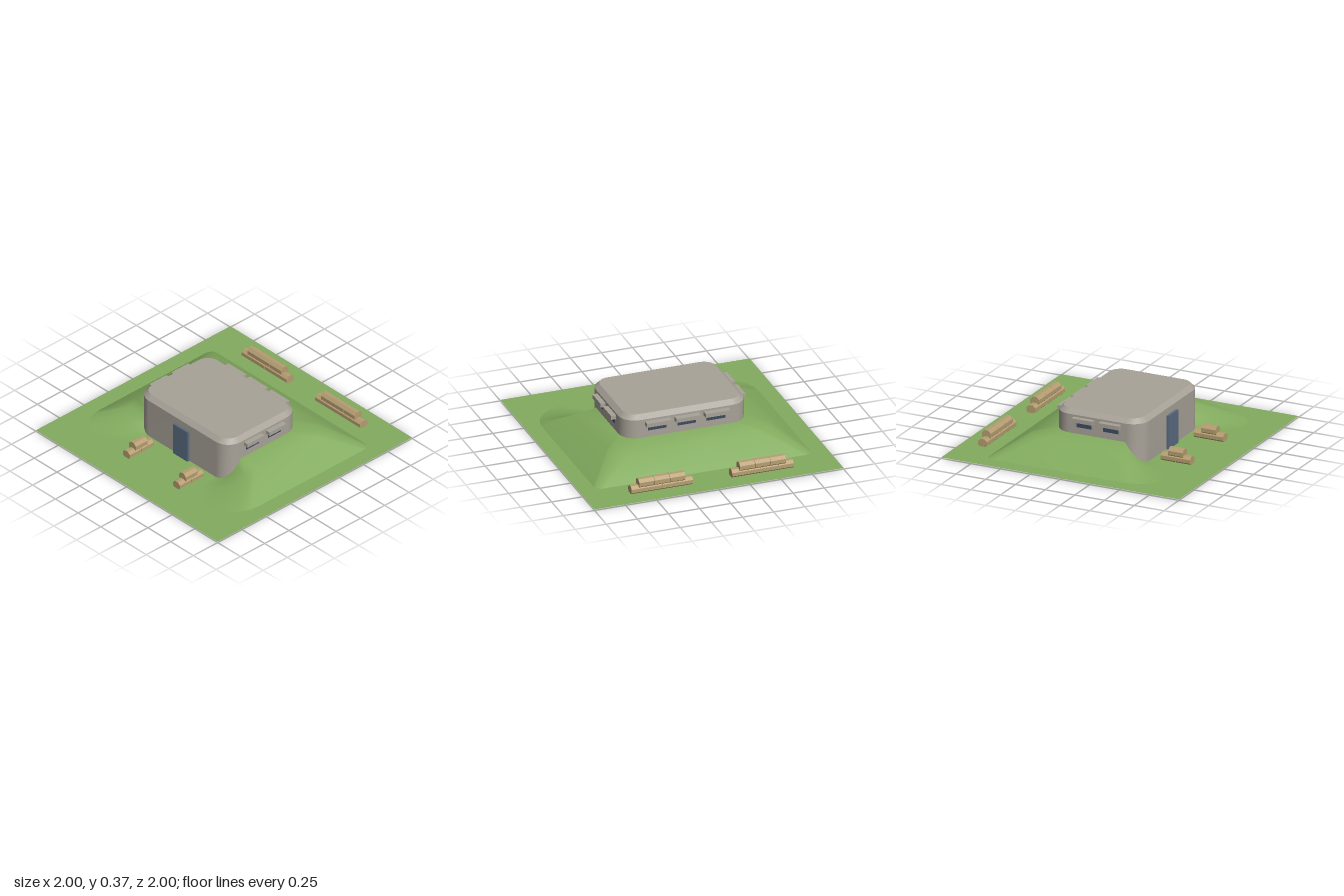
import * as THREE from 'three';

const mat = (color) => new THREE.MeshStandardMaterial({ color, side: THREE.DoubleSide });
const SEG = 6; // segments per rounded corner
const GROUND = 0.008;

// Rounded rectangle loop; height(f) gets 1 along the back and sides, falling to 0 at the front
function ring(halfX, zBack, zFront, rBack, rFront, height) {
  const pts = [];
  for (let c = 0; c < 4; c++) {
    const front = c < 2;
    const r = front ? rFront : rBack;
    const cx = (c === 0 || c === 3 ? 1 : -1) * (halfX - r);
    const cz = front ? zFront - r : zBack + r;
    for (let i = 0; i <= SEG; i++) {
      const t = i / SEG;
      const a = (c + t) * Math.PI / 2;
      const f = c === 0 ? (1 - t) ** 2 : c === 1 ? t ** 2 : 1;
      pts.push(new THREE.Vector3(cx + r * Math.cos(a), height(f), cz + r * Math.sin(a)));
    }
  }
  return pts;
}

// Skin between closed loops, listed from lowest/outermost to highest/innermost
function loft(rings) {
  const n = rings[0].length;
  const index = [];
  for (let k = 0; k < rings.length - 1; k++) {
    for (let i = 0; i < n; i++) {
      const a = k * n + i, b = k * n + (i + 1) % n;
      index.push(a, a + n, b, b, a + n, b + n);
    }
  }
  const geo = new THREE.BufferGeometry().setFromPoints(rings.flat());
  geo.setIndex(index);
  geo.computeVertexNormals();
  return geo;
}

export function createModel() {
  const model = new THREE.Group();
  model.name = 'bunker';
  const grass = mat(0x82ab5e);
  const concrete = mat(0xa8a298);
  const steel = mat(0x596b80);
  const dark = mat(0x3c4a60);
  const sack = mat(0xb59d70);

  const add = (name, geo, material, parent = model) => {
    const m = new THREE.Mesh(geo, material);
    m.name = name;
    parent.add(m);
    return m;
  };
  const box = (name, material, w, h, d, x, y, z) =>
    add(name, new THREE.BoxGeometry(w, h, d), material).position.set(x, y, z);

  // Terrain: flat field and an earth bank open towards the front
  const foot = ring(0.87, -0.69, 0.74, 0.06, 0.28, () => GROUND);
  const shoulder = ring(0.65, -0.465, 0.57, 0.13, 0.28, (f) => GROUND + 0.148 * f);
  const crest = ring(0.495, -0.305, 0.425, 0.13, 0.13, (f) => GROUND + 0.174 * f);
  add('field', loft([ring(1, -1, 1, 0, 0, () => GROUND), foot]), grass);
  add('earthBank', loft([foot, shoulder, crest]), grass);

  // Concrete shell, open underneath
  const shell = (y, inset = 0) =>
    ring(0.5 - inset, -0.31 + inset, 0.43 - inset, 0.13 - inset, 0.13 - inset, () => y);
  add('walls', loft([shell(0), shell(0.33)]), concrete);
  add('roofBevel', loft([shell(0.33), shell(0.365, 0.035)]), concrete);
  const outline = shell(0, 0.035).map((p) => new THREE.Vector2(p.x, -p.z)).reverse();
  const roof = new THREE.ShapeGeometry(new THREE.Shape(outline));
  roof.rotateX(-Math.PI / 2).translate(0, 0.365, 0);
  add('roof', roof, concrete);

  // Door
  box('door', steel, 0.16, 0.267, 0.04, 0, 0.1415, 0.43);

  // Firing slits with ledges, on both sides and the back
  for (const side of [1, -1]) {
    for (const z of [0.175, -0.05]) {
      box('sideLedge', concrete, 0.06, 0.032, 0.174, side * 0.511, 0.298, z);
      box('sideSlit', dark, 0.02, 0.042, 0.128, side * 0.493, 0.256, z);
    }
  }
  for (const x of [-0.236, 0, 0.236]) {
    box('backLedge', concrete, 0.197, 0.032, 0.06, x, 0.298, -0.329);
    box('backSlit', dark, 0.15, 0.042, 0.02, x, 0.256, -0.303);
  }

  // Sandbag walls: eight-sided bags lying along x, the upper row one bag shorter
  const bagLength = 0.124;
  const bag = new THREE.CylinderGeometry(0.0405, 0.0405, bagLength - 0.002, 8).toNonIndexed();
  bag.rotateY(Math.PI / 8).rotateZ(Math.PI / 2);
  bag.computeVertexNormals();
  function sandbagWall(name, count, x, z, turn) {
    const wall = new THREE.Group();
    wall.name = name;
    for (let row = 0; row < 2; row++) {
      const n = count - row;
      for (let i = 0; i < n; i++) {
        const m = add('sandbag', bag, sack, wall);
        m.position.set((i - (n - 1) / 2) * bagLength, row ? 0.079 : 0.034, 0);
        if (!row) m.scale.y = 0.9;
      }
    }
    wall.position.set(x, 0, z);
    wall.rotation.y = turn;
    model.add(wall);
  }
  for (const side of [1, -1]) {
    sandbagWall('frontSandbags', 2, side * 0.275, 0.623, Math.PI / 2);
    sandbagWall('backSandbags', 4, side * 0.404, -0.828, 0);
  }
  return model;
}
